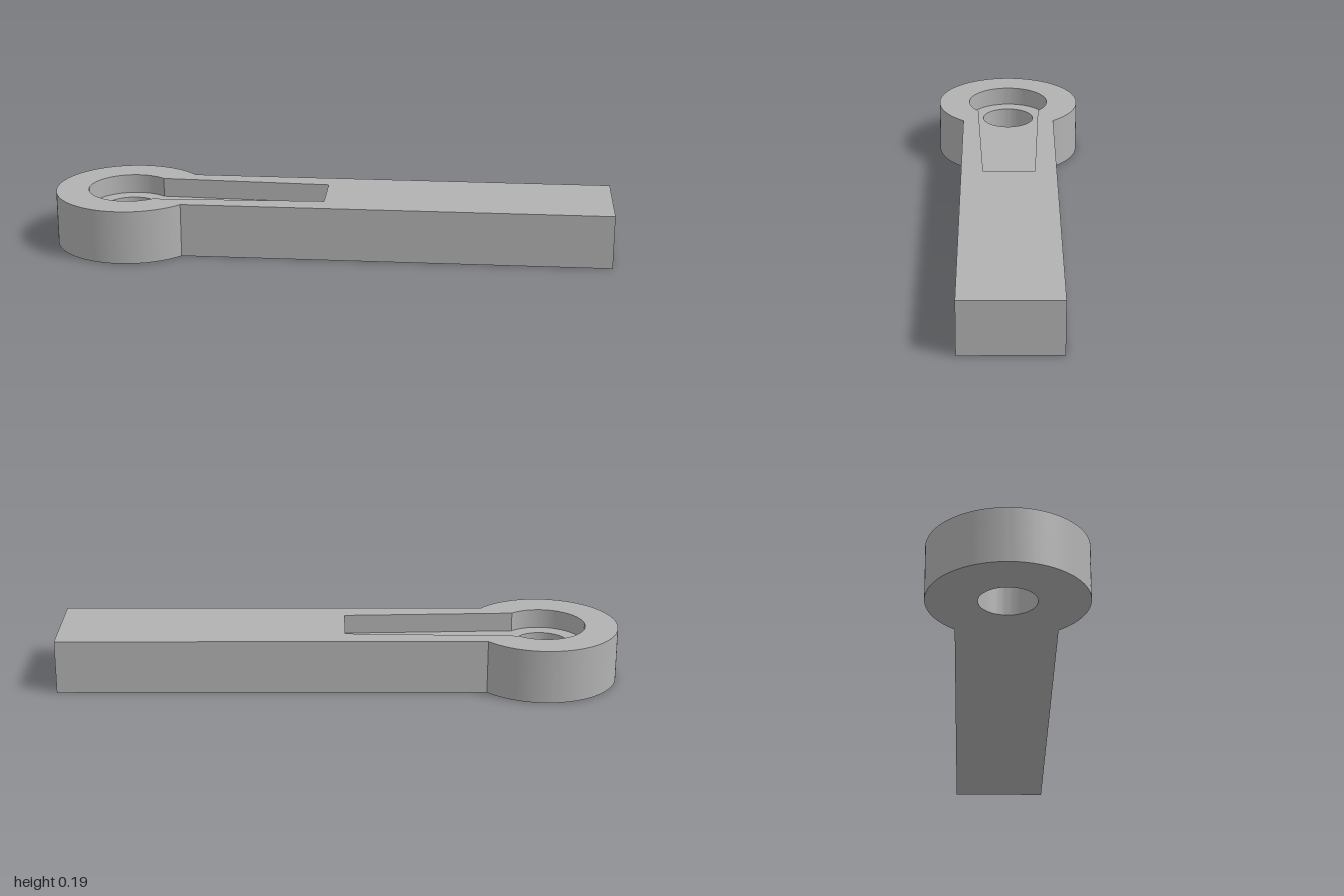
import * as THREE from 'three';
import { toCreasedNormals } from 'three/addons/utils/BufferGeometryUtils.js';

const HEIGHT = 0.193, FLOOR = 0.124; // full thickness, recess floor level
const EYE_X = -0.73;                 // centre of the round end

// Keyhole outline: an arc round the eye, closed by a straight or tapered tail
function keyhole(ShapeType, radius, neckHalf, endX, endHalf) {
  const a = Math.asin(neckHalf / radius);
  const s = new ShapeType();
  s.absarc(EYE_X, 0, radius, a, Math.PI * 2 - a, false);
  s.lineTo(endX, -endHalf);
  s.lineTo(endX, endHalf);
  s.closePath();
  return s;
}

// Horizontal slab with the lever outline and one opening
function slab(name, opening, y0, y1, material) {
  const shape = keyhole(THREE.Shape, 0.27, 0.173, 1, 0.173);
  shape.holes.push(opening);
  const geo = new THREE.ExtrudeGeometry(shape, { depth: y1 - y0, bevelEnabled: false, curveSegments: 72 });
  geo.rotateX(-Math.PI / 2);
  geo.translate(0, y0, 0);
  const mesh = new THREE.Mesh(toCreasedNormals(geo, 0.4), material);
  mesh.name = name;
  return mesh;
}

export function createModel() {
  const group = new THREE.Group();
  group.name = 'leverArm';
  const grey = new THREE.MeshStandardMaterial({ color: 0xb2b2b2 });
  grey.name = 'grey';

  // Lower layer, pierced by the round through hole
  const bore = new THREE.Path();
  bore.absarc(EYE_X, 0, 0.098, 0, Math.PI * 2, true);
  group.add(slab('lowerBody', bore, 0, FLOOR, grey));

  // Upper layer, cut by the keyhole recess with a tapering slot
  const recess = keyhole(THREE.Path, 0.153, 0.117, -0.02, 0.094);
  group.add(slab('recessedUpperBody', recess, FLOOR, HEIGHT, grey));
  return group;
}
